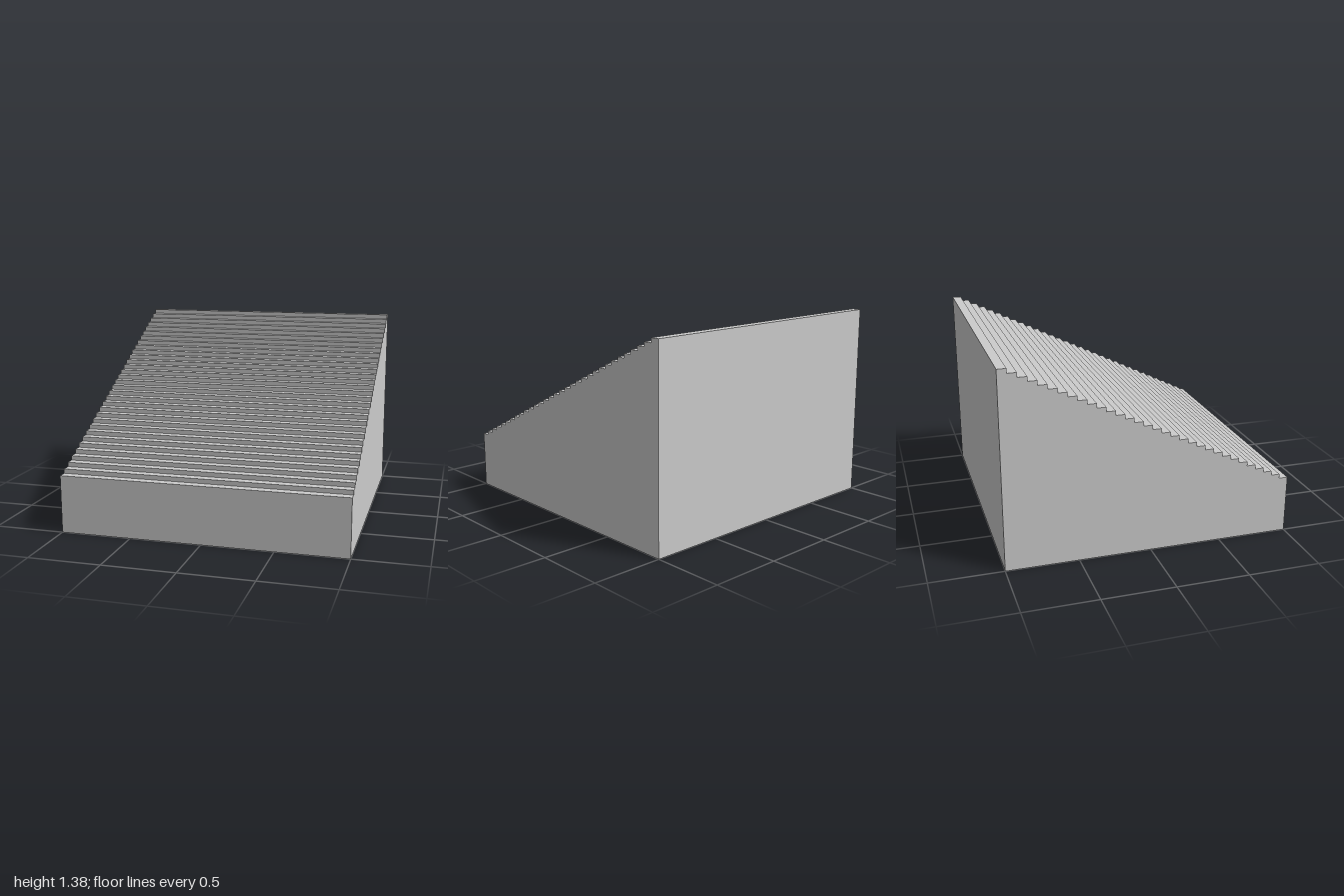
import * as THREE from 'three';

const STEPS = 32;
const WIDTH = 2;
const TREAD = 2 / STEPS;
const RISE = 1 / 32;
const FIRST_HEIGHT = 13 * RISE;

// Side outline of the stair block: x of the shape is the model's z
function stairProfile() {
  const shape = new THREE.Shape();
  shape.moveTo(-1, 0);
  shape.lineTo(1, 0);
  for (let i = 0; i < STEPS; i++) {
    const y = FIRST_HEIGHT + i * RISE;
    shape.lineTo(1 - i * TREAD, y); // riser
    shape.lineTo(1 - (i + 1) * TREAD, y); // tread
  }
  shape.closePath();
  return shape;
}

export function createModel() {
  const model = new THREE.Group();
  model.name = 'staircase';

  // Solid flight of steps rising towards the back
  const geometry = new THREE.ExtrudeGeometry(stairProfile(), { depth: WIDTH, bevelEnabled: false });
  geometry.translate(0, 0, -WIDTH / 2);
  geometry.rotateY(-Math.PI / 2);

  const material = new THREE.MeshStandardMaterial({ color: 0xcccccc, flatShading: true });
  const steps = new THREE.Mesh(geometry, material);
  steps.name = 'steps';
  model.add(steps);
  return model;
}
